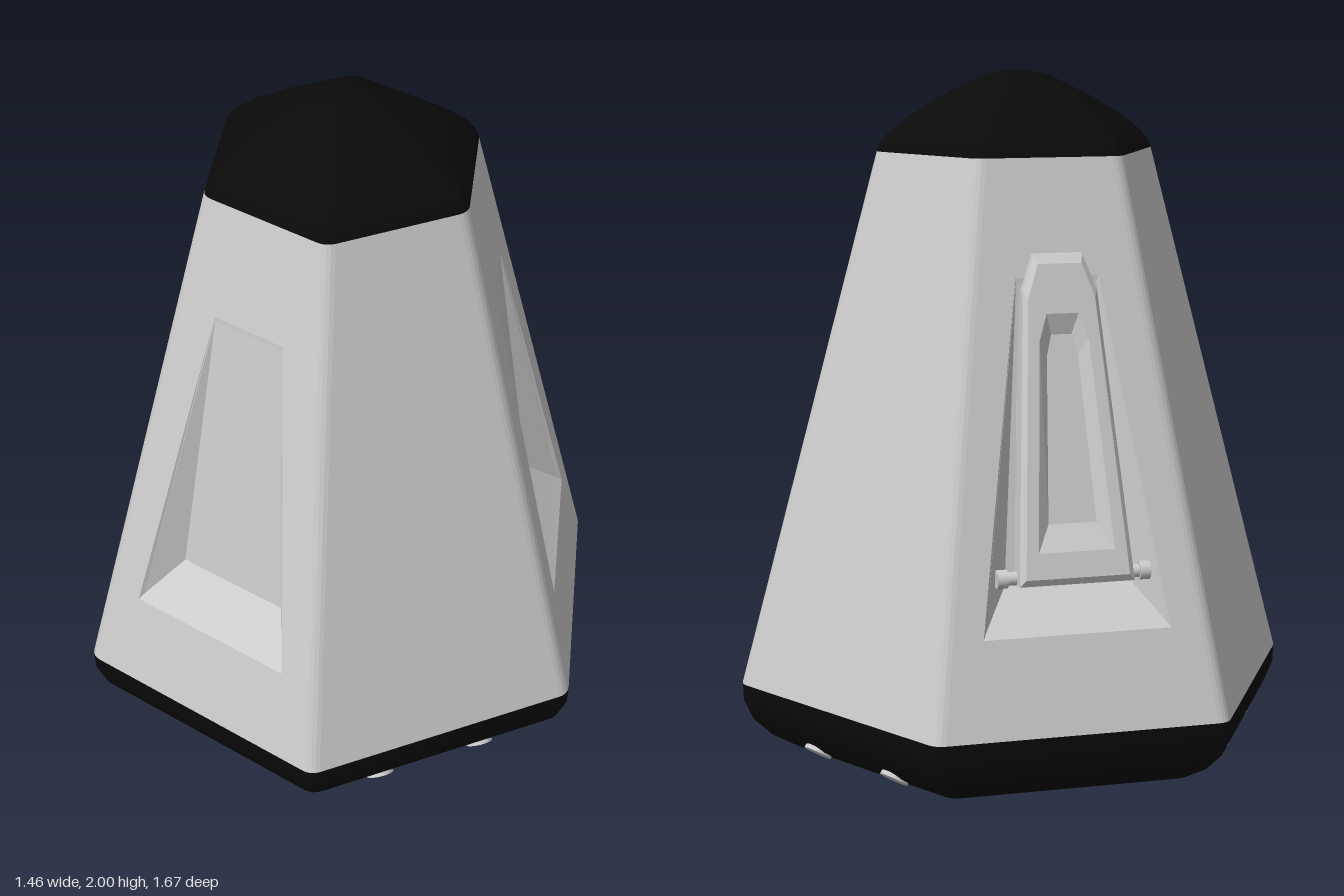
import * as THREE from 'three';
import { toCreasedNormals } from 'three/addons/utils/BufferGeometryUtils.js';

const grey = new THREE.MeshStandardMaterial({ color: 0xcccccc });
const black = new THREE.MeshStandardMaterial({ color: 0x0a0a0a });

const BOTTOM = 0.21, TOP = 1.77, FILLET = 0.05;
// distance of the sloping side faces from the axis at height y
const faceDist = (y) => 0.73 - (y - BOTTOM) * (0.365 / (TOP - BOTTOM));

function geometryFrom(quads, crease = 0.05) {
  const pos = [];
  for (const [a, b, c, d] of quads) pos.push(...a, ...b, ...c, ...a, ...c, ...d);
  const g = new THREE.BufferGeometry();
  g.setAttribute('position', new THREE.Float32BufferAttribute(pos, 3));
  return toCreasedNormals(g, crease);
}

function mesh(name, geometry, material = grey) {
  const m = new THREE.Mesh(geometry, material);
  m.name = name;
  return m;
}

// Hexagon with rounded corners; a = distance from axis to each flat
const STEPS = 5;
function hexRing(a, y) {
  const r = Math.min(FILLET, a * 0.3), ring = [];
  const centre = (a - r) / Math.cos(Math.PI / 6);
  for (let k = 0; k < 6; k++) {
    const corner = Math.PI / 6 + k * Math.PI / 3;
    for (let i = 0; i < STEPS; i++) {
      const t = corner + (i / (STEPS - 1) - 0.5) * Math.PI / 3;
      ring.push([
        centre * Math.cos(corner) + r * Math.cos(t), y,
        centre * Math.sin(corner) + r * Math.sin(t)]);
    }
  }
  return ring;
}

// Skin between hexagonal rings; profile = [distance to flat, height]
function hexLoft(profile, crease, skipAlternate = false) {
  const rings = profile.map(([a, y]) => hexRing(a, y)), quads = [];
  for (let i = 0; i + 1 < rings.length; i++) {
    const lo = rings[i], hi = rings[i + 1];
    for (let j = 0; j < lo.length; j++) {
      const isFlat = j % STEPS === STEPS - 1;
      if (skipAlternate && isFlat && Math.floor(j / STEPS) % 2 === 1) continue;
      const n = (j + 1) % lo.length;
      quads.push([lo[j], hi[j], hi[n], lo[n]]);
    }
  }
  return geometryFrom(quads, crease);
}

// Joins consecutive counter-clockwise loops and closes the last one
function nestedLoops(loops, closeBack = false) {
  const quads = [];
  for (let l = 0; l + 1 < loops.length; l++) {
    const o = loops[l], p = loops[l + 1];
    o.forEach((_, i) => {
      const n = (i + 1) % o.length;
      quads.push([o[i], o[n], p[n], p[i]]);
    });
  }
  const fan = (q) => {
    for (let i = 1; i + 1 < q.length; i++) quads.push([q[0], q[i], q[i + 1], q[0]]);
  };
  fan(loops[loops.length - 1]);
  if (closeBack) fan([...loops[0]].reverse());
  return geometryFrom(quads);
}

// Group whose +z points out of the side face at the given angle from +x
function sideGroup(name, degrees) {
  const g = new THREE.Group();
  g.name = name;
  g.rotation.y = THREE.MathUtils.degToRad(90 - degrees);
  return g;
}

const trapezoid = (w0, y0, d0, w1, y1, d1) =>
  [[-w0, y0, d0], [w0, y0, d0], [w1, y1, d1], [-w1, y1, d1]];

// Side face with a tapering pocket that runs out towards the top
function recessedFace() {
  const half = (y) => (faceDist(y) - FILLET) * Math.tan(Math.PI / 6);
  return nestedLoops([
    trapezoid(half(BOTTOM), BOTTOM, faceDist(BOTTOM), half(TOP), TOP, faceDist(TOP)),
    trapezoid(0.27, 0.48, faceDist(0.48), 0.12, 1.445, faceDist(1.445)),
    trapezoid(0.26, 0.495, faceDist(0.495) - 0.012, 0.118, 1.44, faceDist(1.44) - 0.001),
    trapezoid(0.18, 0.6, 0.55, 0.115, 1.43, 0.442),
  ]);
}

// Tapered latch plate with bevelled rim and a sunken middle
function latchPlate() {
  const outline = [[-0.165, 0.62], [0.165, 0.62], [0.107, 1.41],
    [0.07, 1.51], [-0.07, 1.51], [-0.107, 1.41]];
  const loop = (ks, y0, y1, off) => outline.map(([s, y]) => {
    const h = y0 + (y - 0.62) / 0.89 * (y1 - y0);
    return [s * ks, h, faceDist(h) + off];
  });
  return nestedLoops([
    loop(1, 0.62, 1.51, -0.035),
    loop(1, 0.62, 1.51, 0.022),
    loop(0.9, 0.64, 1.485, 0.036),
    loop(0.66, 0.71, 1.35, 0.036),
    loop(0.42, 0.78, 1.29, 0.008),
  ], true);
}

export function createModel() {
  const model = new THREE.Group();
  model.name = 'capsule';

  // Main shell
  model.add(mesh('shell', hexLoft(
    [[faceDist(BOTTOM), BOTTOM], [faceDist(TOP), TOP]], 0.05, true)));
  for (const angle of [0, 120, 240]) {
    const side = sideGroup('recessedSide', angle);
    side.add(mesh('recessedPanel', recessedFace()));
    model.add(side);
  }

  // Rounded top, base ring and the hollow inside
  model.add(mesh('topCap', hexLoft([[0.365, TOP], [0.358, 1.792], [0.335, 1.823],
    [0.28, 1.87], [0.2, 1.925], [0.1, 1.98], [0.05, 1.996], [0, 2]], 0.5), black));
  model.add(mesh('base', hexLoft([[0.39, 0], [0.56, 0], [0.6, 0.012], [0.66, 0.05],
    [0.705, 0.1], [0.728, 0.16], [0.73, BOTTOM]], 0.5), black));
  model.add(mesh('innerWall', hexLoft([[0, 1.62], [0.39, 1.62], [0.39, 0]], 0.05)));

  // Latch on its hinge pin
  const latch = sideGroup('latch', 240);
  latch.add(mesh('latchPlate', latchPlate()));
  const rod = (name, radius, length, x) => {
    const pin = mesh(name, new THREE.CylinderGeometry(radius, radius, length, 20));
    pin.rotation.z = Math.PI / 2;
    pin.position.set(x, 0.635, 0.61);
    latch.add(pin);
  };
  rod('hingePin', 0.019, 0.42, 0);
  for (const s of [-1, 1]) rod('pinHead', 0.026, 0.03, s * 0.205);
  model.add(latch);

  // Pairs of round ports under the plain sides
  for (const angle of [60, 180, 300]) {
    const side = sideGroup('portPair', angle);
    for (const s of [-1, 1]) {
      const port = mesh('port', new THREE.CylinderGeometry(0.042, 0.042, 0.016, 24));
      port.position.set(s * 0.165, 0.044, 0.648);
      port.rotation.x = -0.6;
      side.add(port);
    }
    model.add(side);
  }
  return model;
}
